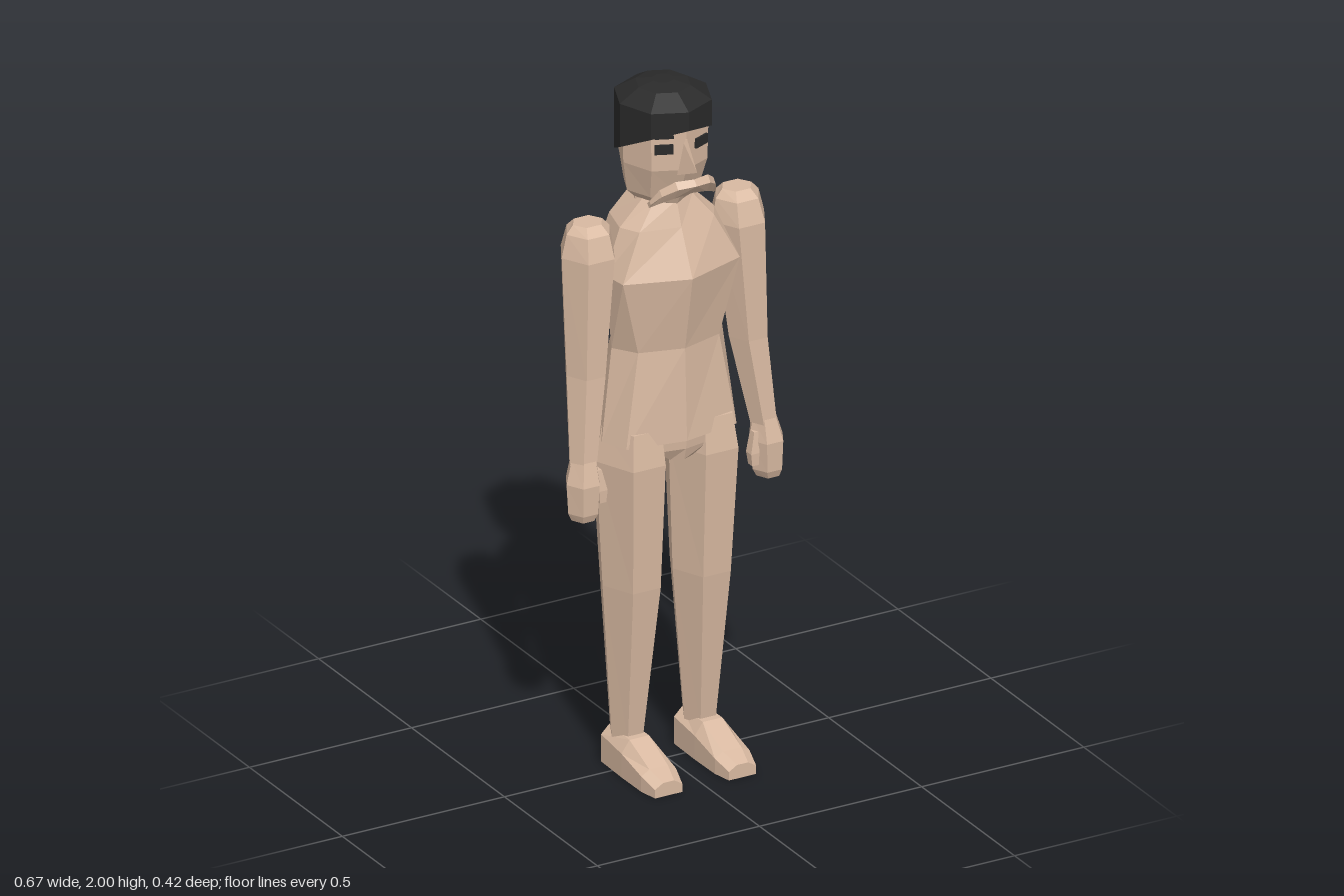
import * as THREE from 'three';

const skin = new THREE.MeshStandardMaterial({ color: 0xd8b9a1 });
skin.name = 'skin';
const black = new THREE.MeshStandardMaterial({ color: 0x2a2a2a });
black.name = 'black';

// Elliptical ring of n points at height y; phase turns it by a fraction of a side
function ring(cx, y, cz, rx, rz, n = 6, phase = 0) {
  return Array.from({ length: n }, (_, i) => {
    const t = ((i + phase) / n) * Math.PI * 2;
    return [cx + rx * Math.cos(t), y, cz + rz * Math.sin(t)];
  });
}

// Closed faceted solid through rings of equal count, always wound outwards
function loft(name, rings, material) {
  const tris = [];
  const n = rings[0].length;
  for (let r = 0; r < rings.length - 1; r++) {
    for (let i = 0; i < n; i++) {
      const j = (i + 1) % n;
      const [a, b, c, d] = [rings[r][i], rings[r][j], rings[r + 1][j], rings[r + 1][i]];
      tris.push([a, b, c], [a, c, d]);
    }
  }
  const last = rings[rings.length - 1];
  for (let i = 1; i < n - 1; i++) {
    tris.push([rings[0][0], rings[0][i + 1], rings[0][i]], [last[0], last[i], last[i + 1]]);
  }
  let volume = 0;
  const v = (p) => new THREE.Vector3(...p);
  for (const [a, b, c] of tris) volume += v(a).dot(v(b).cross(v(c)));
  if (volume < 0) tris.forEach((t) => t.reverse());
  const geo = new THREE.BufferGeometry();
  geo.setAttribute('position', new THREE.Float32BufferAttribute(tris.flat(2), 3));
  geo.computeVertexNormals();
  const mesh = new THREE.Mesh(geo, material);
  mesh.name = name;
  return mesh;
}

// Symmetric eight-point body section
function bodyRing([y, zf, a, za, w, b, zbs, zb]) {
  return [[0, y, zf], [a, y, za], [w, y, 0], [b, y, zbs], [0, y, zb],
    [-b, y, zbs], [-w, y, 0], [-a, y, za]];
}

export function createModel() {
  const model = new THREE.Group();
  const add = (name, rings, material = skin) => model.add(loft(name, rings, material));

  // Torso with flared hem, chest ridge and sloping shoulders
  add('torso', [
    [0.98, 0.11, 0.17, 0.08, 0.2, 0.17, -0.14, -0.208],
    [1.25, 0.10, 0.125, 0.065, 0.17, 0.125, -0.08, -0.108],
    [1.47, 0.14, 0.18, 0.08, 0.19, 0.165, -0.11, -0.14],
    [1.60, 0.08, 0.115, 0.055, 0.145, 0.12, -0.1, -0.13],
    [1.67, 0.055, 0.06, 0.035, 0.075, 0.06, -0.09, -0.115],
  ].map(bodyRing));

  // Pelvis wedge between the legs
  add('pelvis', [
    [0.92, 0.095, 0.035, 0.08, 0.04, 0.035, -0.08, -0.1],
    [0.955, 0.105, 0.08, 0.09, 0.1, 0.09, -0.11, -0.13],
    [0.99, 0.108, 0.15, 0.08, 0.18, 0.15, -0.13, -0.18],
  ].map(bodyRing));

  for (const s of [1, -1]) {
    const side = s > 0 ? 'left' : 'right';

    // Tapering six-sided leg
    add(side + 'Leg', [
      ring(s * 0.112, 0.09, -0.02, 0.046, 0.055),
      ring(s * 0.108, 0.55, -0.008, 0.085, 0.105),
      ring(s * 0.112, 0.92, -0.01, 0.1, 0.132),
      ring(s * 0.11, 1.02, -0.01, 0.085, 0.115),
    ]);

    // Foot, from heel to toe: z, inner x, outer x, height, edge height
    add(side + 'Foot', [
      [-0.065, 0.06, 0.165, 0.105, 0.08],
      [0.05, 0.058, 0.168, 0.105, 0.07],
      [0.155, 0.06, 0.167, 0.06, 0.045],
      [0.21, 0.072, 0.156, 0.04, 0.025],
    ].map(([z, xi, xo, h, e]) => [
      [s * xi, 0, z], [s * xo, 0, z], [s * xo, e, z],
      [s * (xo - 0.025), h, z], [s * (xi + 0.025), h, z], [s * xi, e, z],
    ]));

    // Arm with rounded shoulder cap
    add(side + 'Arm', [
      ring(s * 0.278, 0.95, 0.035, 0.04, 0.045),
      ring(s * 0.25, 1.2, 0.0, 0.058, 0.066),
      ring(s * 0.232, 1.54, -0.02, 0.08, 0.087),
      ring(s * 0.23, 1.605, -0.022, 0.066, 0.066),
      ring(s * 0.23, 1.628, -0.024, 0.045, 0.04),
    ]);

    // Closed hand and thumb
    add(side + 'Hand', [
      ring(s * 0.285, 0.793, 0.045, 0.034, 0.038),
      ring(s * 0.284, 0.815, 0.045, 0.045, 0.048),
      ring(s * 0.283, 0.9, 0.043, 0.05, 0.055),
      ring(s * 0.278, 0.965, 0.037, 0.036, 0.042),
    ]);
    add(side + 'Thumb', [
      ring(s * 0.235, 0.835, 0.057, 0.014, 0.016, 4, 0.5),
      ring(s * 0.234, 0.87, 0.055, 0.018, 0.02, 4, 0.5),
      ring(s * 0.245, 0.93, 0.05, 0.014, 0.016, 4, 0.5),
    ]);

    // Eye plate lying on the angled face panel
    const eye = new THREE.Mesh(new THREE.BoxGeometry(0.05, 0.028, 0.009), black);
    eye.name = side + 'Eye';
    const turn = Math.atan2(0.1285 * (1 - Math.SQRT1_2), 0.125 * Math.SQRT1_2);
    eye.position.set(s * 0.057, 1.845, 0.109 - 0.057 * Math.tan(turn));
    eye.rotation.y = s * turn;
    model.add(eye);

    // Drooping half of the moustache: x, y, z, half height, half depth
    add(side + 'Moustache', [
      [0, 1.748, 0.142, 0.021, 0.022],
      [0.05, 1.741, 0.128, 0.026, 0.022],
      [0.083, 1.718, 0.102, 0.022, 0.018],
      [0.1, 1.69, 0.08, 0.01, 0.01],
    ].map(([x, y, z, h, d]) => [
      [s * x, y + h, z + d * 0.3], [s * x, y + h * 0.3, z + d],
      [s * x, y - h, z], [s * x, y, z - d],
    ]));
  }

  // One raised eyebrow
  const brow = new THREE.Mesh(new THREE.BoxGeometry(0.05, 0.009, 0.009), black);
  brow.name = 'eyebrow';
  brow.position.set(-0.057, 1.882, 0.087);
  brow.rotation.y = -0.4;
  model.add(brow);

  // Neck and eight-sided head
  add('neck', [
    ring(0, 1.62, -0.03, 0.085, 0.085, 8),
    ring(0, 1.72, -0.03, 0.075, 0.09, 8),
  ]);
  add('head', [
    ring(0, 1.655, -0.035, 0.07, 0.09, 8),
    ring(0, 1.69, -0.03, 0.105, 0.102, 8),
    ring(0, 1.78, -0.02, 0.122, 0.126, 8),
    ring(0, 1.92, -0.02, 0.126, 0.129, 8),
  ]);

  // Wedge nose
  add('nose', [
    [[-0.022, 1.765, 0.095], [0.022, 1.765, 0.095], [0, 1.795, 0.165]],
    [[-0.008, 1.87, 0.095], [0.008, 1.87, 0.095], [0, 1.87, 0.112]],
  ]);

  // Hair: lower edge slopes down towards the nape
  const hem = ring(0, 0, -0.02, 0.133, 0.14, 8).map(([x, , z]) => [x, 1.9 + (z - 0.12) * 0.52, z]);
  add('hair', [
    hem,
    ring(0, 1.955, -0.02, 0.133, 0.14, 8),
    ring(0, 1.99, -0.02, 0.075, 0.08, 8),
    ring(0, 2.0, -0.02, 0.03, 0.03, 8),
  ], black);

  return model;
}
